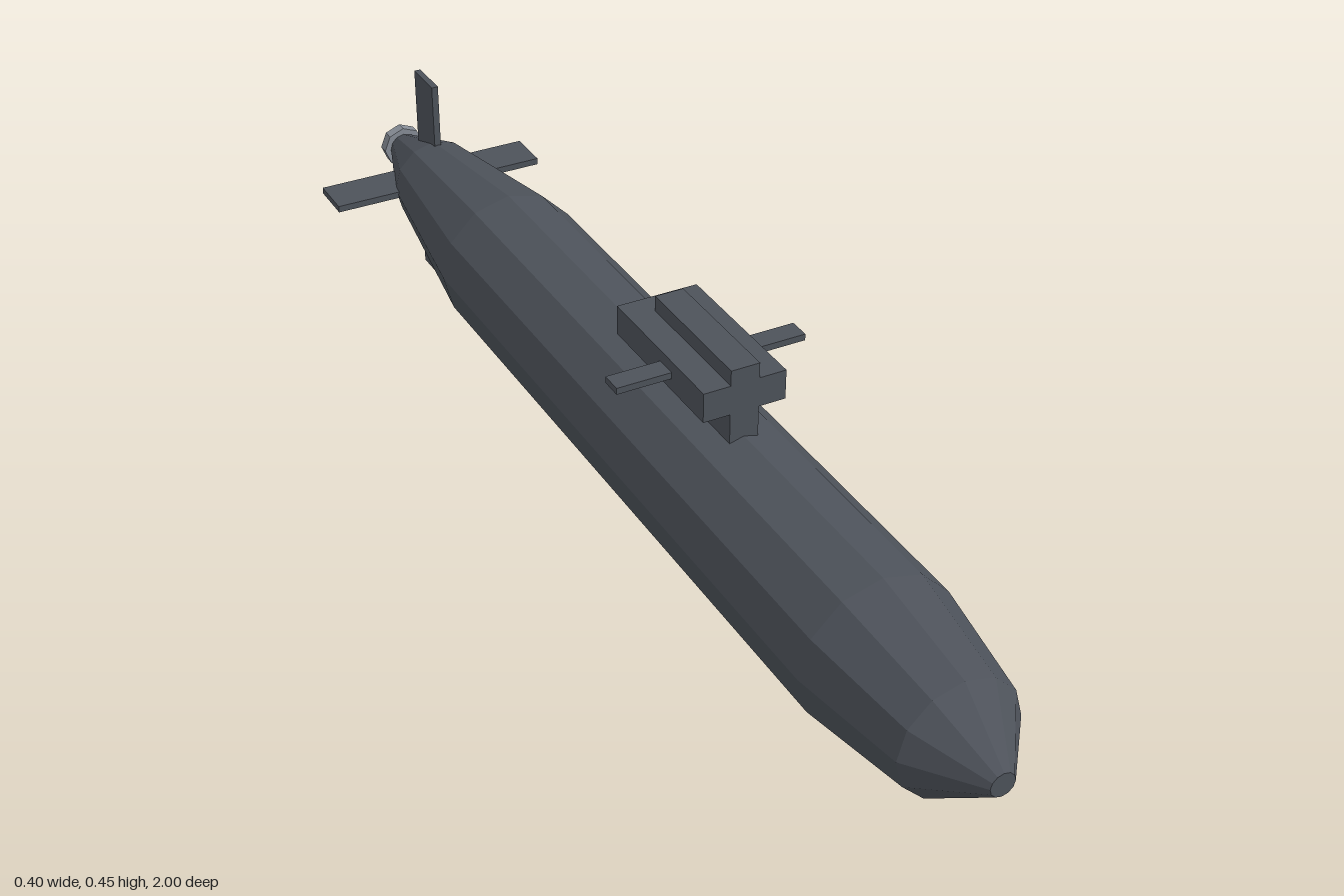
import * as THREE from 'three';

const AXIS_Y = 0.2; // height of the hull centreline

export function createModel() {
  const model = new THREE.Group();
  model.name = 'submarine';

  const hullGrey = new THREE.MeshStandardMaterial({ color: 0x4d525a, flatShading: true });
  hullGrey.name = 'hull grey';
  const propellerGrey = new THREE.MeshStandardMaterial({ color: 0x868c95, flatShading: true });
  propellerGrey.name = 'propeller grey';

  const add = (name, geometry, material) => {
    const mesh = new THREE.Mesh(geometry, material);
    mesh.name = name;
    model.add(mesh);
    return mesh;
  };

  // Box given by its extents on each axis
  const box = (name, [x0, x1], [y0, y1], [z0, z1]) =>
    add(name, new THREE.BoxGeometry(x1 - x0, y1 - y0, z1 - z0), hullGrey)
      .position.set((x0 + x1) / 2, (y0 + y1) / 2, (z0 + z1) / 2);

  // Twelve-sided hull, from tail to nose as [radius, z]
  const profile = [
    [0, -0.98], [0.027, -0.98], [0.08, -0.83], [0.129, -0.5],
    [0.129, 0.7], [0.099, 0.9], [0.02, 1], [0, 1],
  ].map(([r, z]) => new THREE.Vector2(r, z));
  const hull = new THREE.LatheGeometry(profile, 12).rotateX(Math.PI / 2);
  add('hull', hull, hullGrey).position.y = AXIS_Y;

  // Propeller disc at the tail
  const disc = new THREE.CylinderGeometry(0.039, 0.039, 0.02, 8).rotateX(Math.PI / 2);
  add('propeller', disc, propellerGrey).position.set(0, AXIS_Y, -0.99);

  // Sail with its wide, overhanging collar
  box('sail', [-0.024, 0.024], [0.29, 0.45], [0.086, 0.32]);
  box('sailCollar', [-0.069, 0.069], [0.374, 0.424], [0.047, 0.32]);

  // Sail planes and tail fins, mirrored in pairs
  for (const [side, s] of [['left', 1], ['right', -1]]) {
    const span = (a, b) => (s > 0 ? [a, b] : [-b, -a]);
    box(side + 'SailPlane', span(0.05, 0.16), [0.394, 0.405], [0.187, 0.223]);
    box(side + 'TailFin', span(0.02, 0.2), [0.194, 0.206], [-0.89, -0.81]);
  }
  box('upperTailFin', [-0.006, 0.006], [0.22, 0.4], [-0.89, -0.81]);
  box('lowerTailFin', [-0.006, 0.006], [0, 0.18], [-0.89, -0.81]);

  return model;
}
